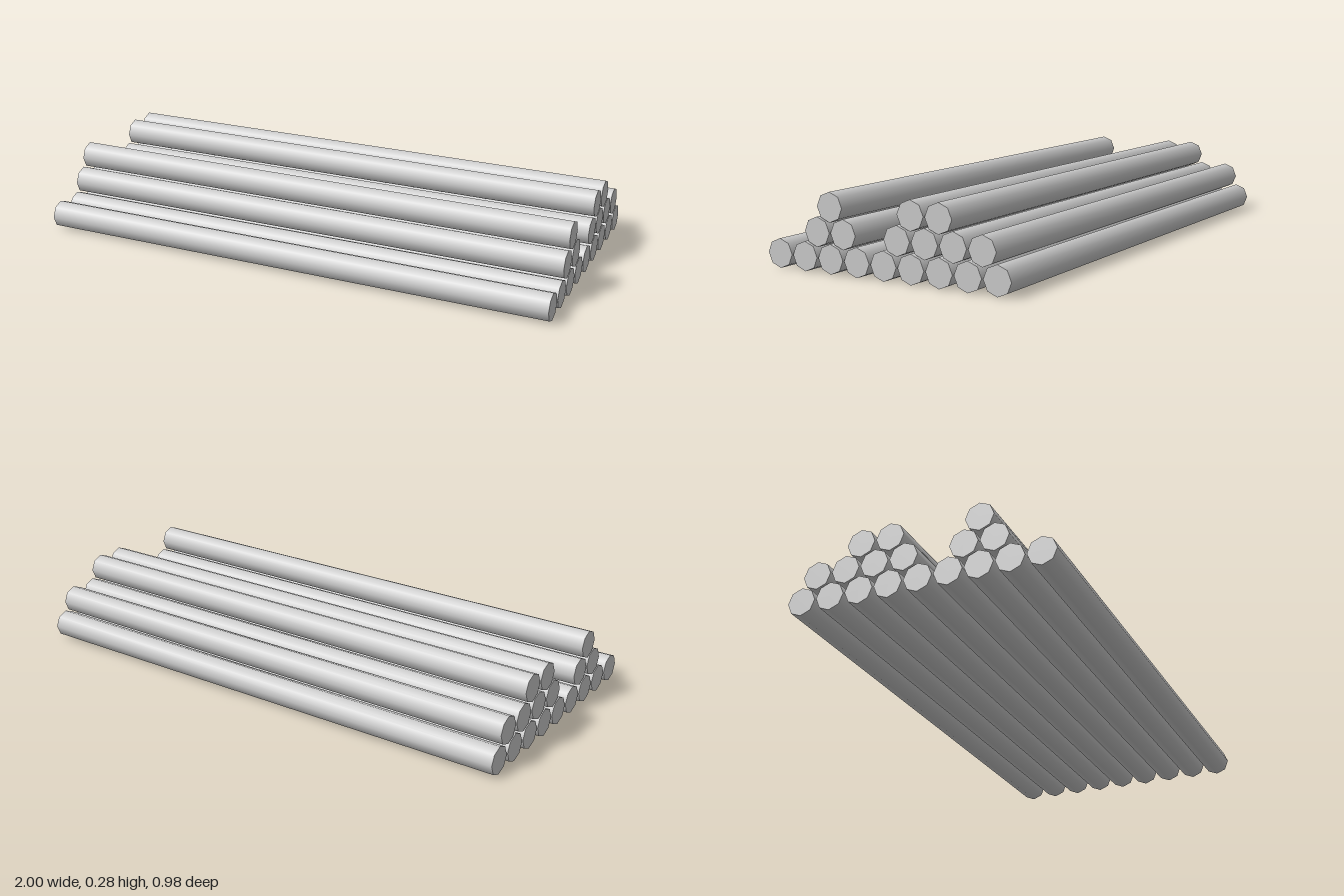
import * as THREE from 'three';

const RADIUS = 0.052;
const SPACING = 0.1095;

// Each layer: centre height and log positions, in units of the spacing, along z
const LAYERS = [
  { name: 'bottomLog', y: RADIUS, slots: [-4, -3, -2, -1, 0, 1, 2, 3, 4] },
  { name: 'middleLog', y: 0.141, slots: [-3.5, -2.5, -1.5, -0.5, 1.5, 2.5] },
  { name: 'topLog', y: 0.229, slots: [-2, -1, 2] },
];

export function createModel() {
  const group = new THREE.Group();
  group.name = 'logPile';
  const material = new THREE.MeshStandardMaterial({ color: 0xcccccc });

  // Eight-sided log lying along x, smooth along its sides with flat ends
  const logGeometry = new THREE.CylinderGeometry(RADIUS, RADIUS, 2, 8);
  logGeometry.rotateZ(Math.PI / 2);

  // Stacked layers, each nested in the gaps of the one below
  for (const { name, y, slots } of LAYERS) {
    slots.forEach((slot, i) => {
      const log = new THREE.Mesh(logGeometry, material);
      log.name = `${name}${i + 1}`;
      log.position.set(0, y, slot * SPACING);
      group.add(log);
    });
  }
  return group;
}
